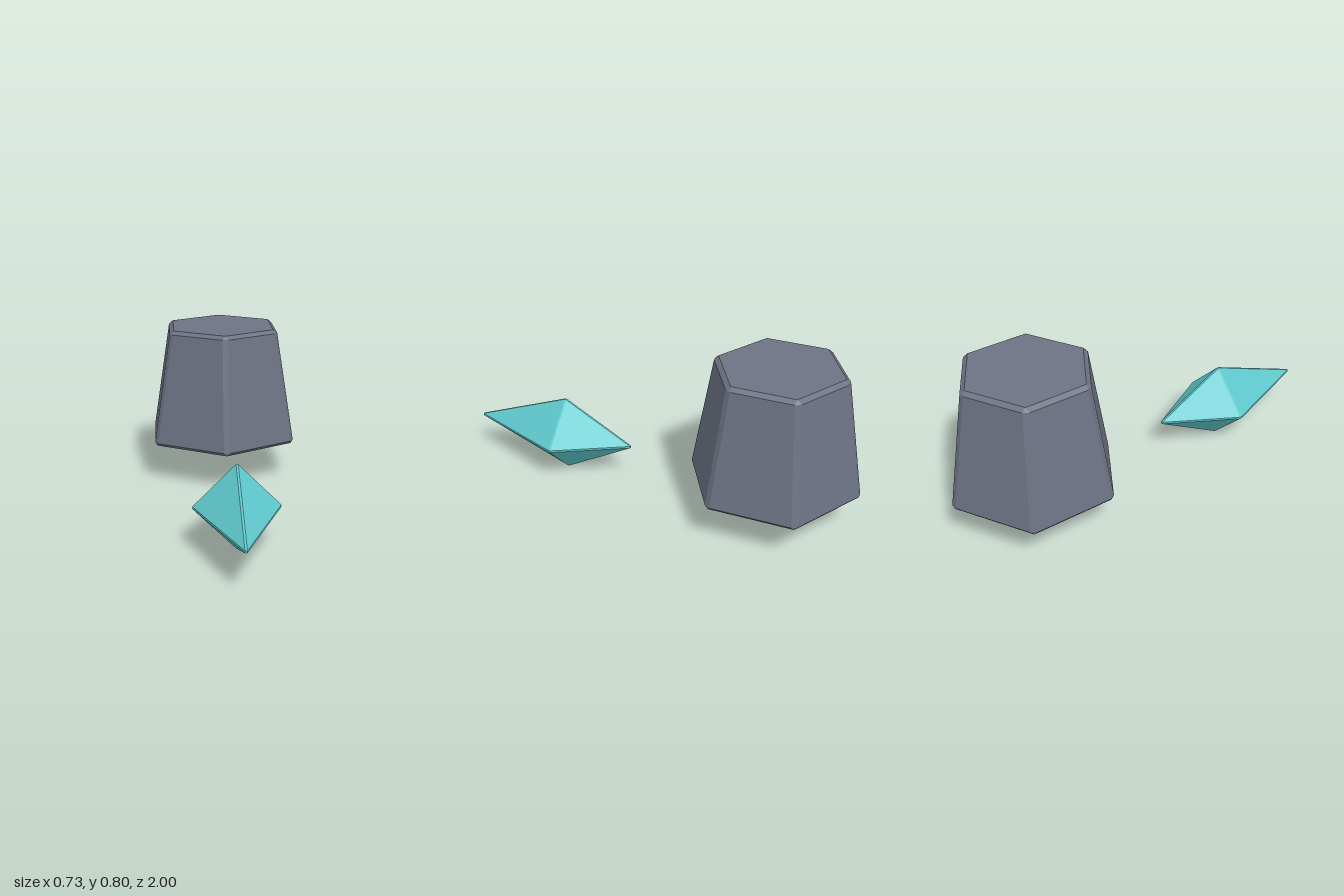
import * as THREE from 'three';
import { ConvexGeometry } from 'three/addons/geometries/ConvexGeometry.js';

const stone = new THREE.MeshStandardMaterial({ color: 0x6d7384 });
stone.name = 'slate grey';
const gem = new THREE.MeshStandardMaterial({ color: 0x5fc8cc });
gem.name = 'turquoise';

// Hexagon ring with corners on +-z; w is half the width of the corner chamfer
function hexRing(y, apothem, w) {
  const points = [];
  const r = apothem / Math.cos(Math.PI / 6) - w * Math.tan(Math.PI / 6);
  for (let i = 0; i < 6; i++) {
    const a = (i * Math.PI) / 3;
    for (const s of w > 0 ? [-w, w] : [0]) {
      points.push(new THREE.Vector3(
        r * Math.sin(a) + s * Math.cos(a), y, r * Math.cos(a) - s * Math.sin(a)));
    }
  }
  return points;
}

// Octahedron with narrow chamfers: each tip becomes a tiny flat rectangle
function crystalPoints(halfWidth, halfHeight, front, back, e) {
  const points = [];
  for (const a of [-1, 1]) {
    for (const b of [-1, 1]) {
      points.push(
        new THREE.Vector3(a * halfWidth, b * e, e),
        new THREE.Vector3(a * halfWidth, b * e, -e),
        new THREE.Vector3(a * e, b * halfHeight, e),
        new THREE.Vector3(a * e, b * halfHeight, -e),
        new THREE.Vector3(a * e, b * e, front),
        new THREE.Vector3(a * e, b * e, -back));
    }
  }
  return points;
}

export function createModel() {
  const model = new THREE.Group();
  model.name = 'model';

  // Tapered hexagonal block with chamfered edges, floating behind
  const block = new THREE.Mesh(new ConvexGeometry([
    ...hexRing(0.199, 0.35, 0),
    ...hexRing(0.215, 0.363, 0.015),
    ...hexRing(0.78, 0.278, 0.015),
    ...hexRing(0.797, 0.257, 0),
  ]), stone);
  block.name = 'taperedBlock';
  block.position.z = -0.59;
  model.add(block);

  // Long pointed crystal in front
  const crystal = new THREE.Mesh(
    new ConvexGeometry(crystalPoints(0.196, 0.1965, 0.492, 0.353, 0.005)), gem);
  crystal.name = 'crystal';
  crystal.position.set(0, 0.1965, 0.508);
  model.add(crystal);

  return model;
}
